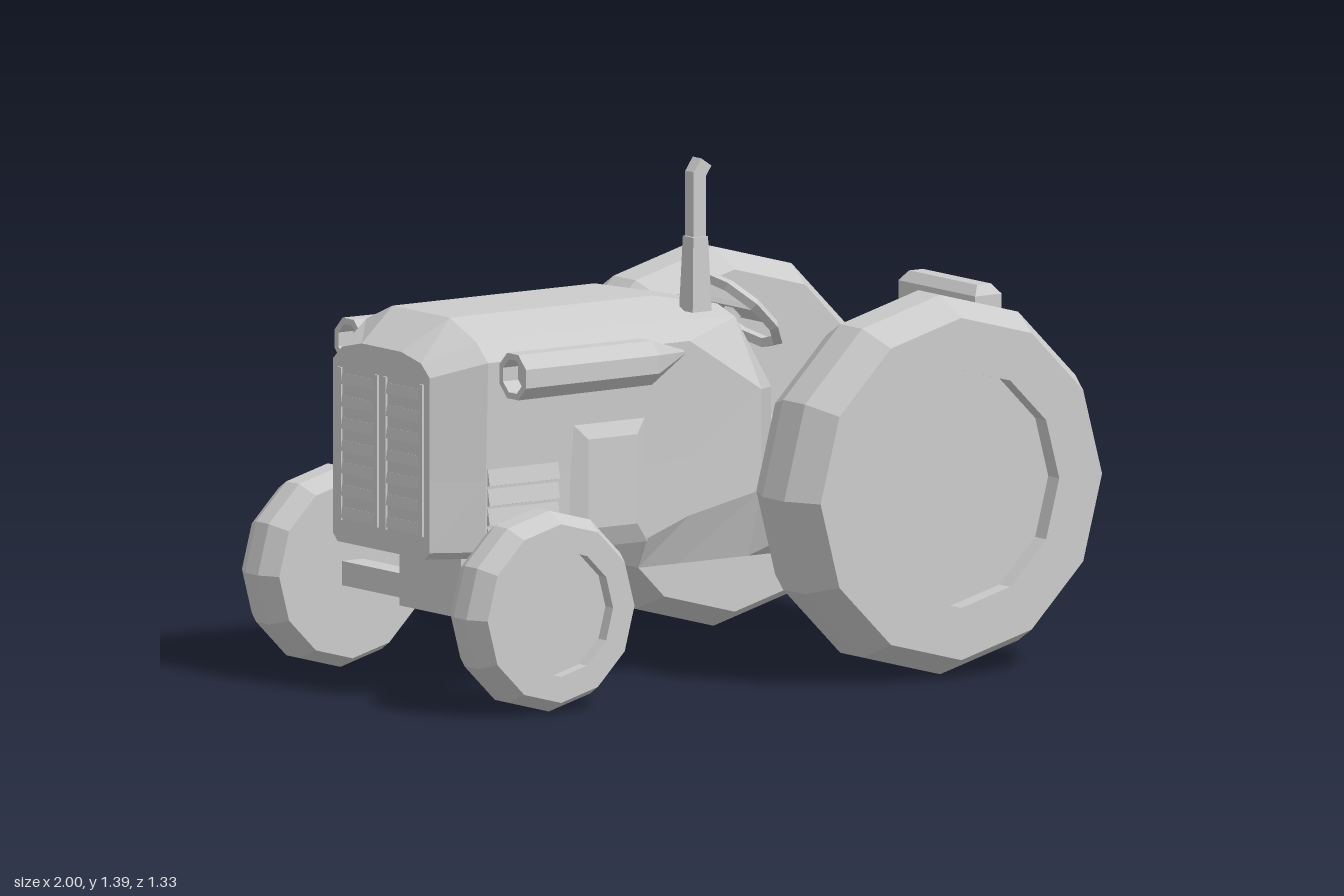
import * as THREE from 'three';

const mat = new THREE.MeshStandardMaterial({ color: 0xcccccc, flatShading: true });
const matDouble = new THREE.MeshStandardMaterial({ color: 0xcccccc, flatShading: true, side: THREE.DoubleSide });

function add(parent, name, geometry, material = mat) {
  const mesh = new THREE.Mesh(geometry, material);
  mesh.name = name;
  parent.add(mesh);
  return mesh;
}

function box(parent, name, x0, x1, y0, y1, z0, z1) {
  const mesh = add(parent, name, new THREE.BoxGeometry(x1 - x0, y1 - y0, z1 - z0));
  mesh.position.set((x0 + x1) / 2, (y0 + y1) / 2, (z0 + z1) / 2);
  return mesh;
}

// Skin rings of equal point count that run from low x to high x
function loft(rings) {
  const pos = [];
  const tri = (a, b, c) => pos.push(...a, ...b, ...c);
  const n = rings[0].length;
  for (let i = 0; i < rings.length - 1; i++) {
    for (let j = 0; j < n; j++) {
      const k = (j + 1) % n, a = rings[i], b = rings[i + 1];
      tri(a[j], b[j], b[k]);
      tri(a[j], b[k], a[k]);
    }
  }
  const first = rings[0], last = rings[rings.length - 1];
  for (let j = 1; j < n - 1; j++) {
    tri(first[0], first[j], first[j + 1]);
    tri(last[0], last[j + 1], last[j]);
  }
  const g = new THREE.BufferGeometry();
  g.setAttribute('position', new THREE.Float32BufferAttribute(pos, 3));
  g.computeVertexNormals();
  return g;
}

// Full ring from the half outline [z, y], listed from bottom to top
function ring(x, half) {
  const left = half.map(([z, y]) => [x, y, z]);
  const right = half.map(([z, y]) => [x, y, -z]).reverse();
  return [...left, ...right];
}

// Block with a smaller outer face, its thickness along +z
function bevelPanel(w, h, w2, h2, depth) {
  const g = new THREE.BoxGeometry(w, h, depth);
  const p = g.attributes.position;
  for (let i = 0; i < p.count; i++) {
    if (p.getZ(i) > 0) p.setXY(i, p.getX(i) * w2 / w, p.getY(i) * h2 / h);
  }
  return g;
}

// Square post, rTop and rBottom measured to the corners
function post(rTop, rBottom, h, open = false) {
  return new THREE.CylinderGeometry(rTop, rBottom, h, 4, 1, open).rotateY(Math.PI / 4);
}

// Tyre with a sunken hub on its outer side
function wheel(parent, name, x, zInner, side, r, edge, rim, width, recess) {
  const profile = [
    [0, 0], [rim, 0], [edge, 0], [r, width * 0.33], [r, width * 0.67], [edge, width],
    [rim, width], [rim, width - recess], [0, width - recess],
  ].map(([a, b]) => new THREE.Vector2(a, b));
  const g = new THREE.LatheGeometry(profile, 12);
  g.rotateX(side * Math.PI / 2);
  add(parent, name, g).position.set(x, r, side * zInner);
}

export function createModel() {
  const tractor = new THREE.Group();
  tractor.name = 'tractor';

  // Hood, cowl and transmission in one faceted shell
  const crown = [[0.305, 0.92], [0.25, 0.97], [0.13, 1.02]];
  const hood = [[0.27, 0.39], [0.293, 0.41], [0.295, 0.6], ...crown];
  const floor = (z) => [[0.25, 0.315], [0.31, 0.37], [0.31, 0.55], [z, 0.6], [z - 0.02, 0.605], [0.09, 0.605]];
  add(tractor, 'body', loft([
    ring(-0.93, [[0.2, 0.39], [0.22, 0.41], [0.22, 0.6], [0.22, 0.88], [0.18, 0.915], [0.09, 0.935]]),
    ring(-0.8, hood),
    ring(-0.275, hood),
    ring(-0.27, [[0.25, 0.315], [0.293, 0.4], [0.295, 0.6], ...crown]),
    ring(-0.14, [[0.25, 0.315], [0.3, 0.45], [0.3, 0.6], ...crown]),
    ring(0.09, [[0.25, 0.315], [0.31, 0.5], [0.31, 0.56], [0.31, 0.77], [0.19, 0.95], [0.11, 0.975]]),
    ring(0.215, [[0.25, 0.315], [0.31, 0.38], [0.31, 0.55], [0.18, 0.6], [0.18, 0.75], [0.1, 0.79]]),
    ring(0.225, floor(0.18)),
    ring(0.55, floor(0.22)),
    ring(0.85, floor(0.22)),
    ring(0.97, [[0.145, 0.32], [0.175, 0.38], [0.175, 0.57], [0.175, 0.6], [0.15, 0.605], [0.09, 0.605]]),
  ]));
  box(tractor, 'rearCrossbar', 0.57, 0.65, 0.24, 0.33, -0.21, 0.21);

  // Front grilles with slats
  for (const s of [-1, 1]) {
    const grille = new THREE.Group();
    grille.name = 'frontGrille';
    tractor.add(grille);
    for (const z of [0.02, 0.185]) {
      box(grille, 'grilleFrame', -0.936, -0.925, 0.45, 0.86, s * z - 0.008, s * z + 0.008);
    }
    for (let i = 0; i < 7; i++) {
      const slat = box(grille, 'grilleSlat', -0.934, -0.924, 0.455 + i * 0.06, 0.485 + i * 0.06,
        s * 0.1025 - 0.08, s * 0.1025 + 0.08);
      slat.rotation.z = -0.15;
    }
  }

  // Parts repeated on both flanks
  for (const s of [-1, 1]) {
    const flank = new THREE.Group();
    flank.name = s > 0 ? 'frontFlank' : 'backFlank';
    flank.rotation.y = s > 0 ? 0 : Math.PI;
    tractor.add(flank);

    const panel = add(flank, 'enginePanel', bevelPanel(0.26, 0.35, 0.16, 0.24, 0.024));
    panel.position.set(s * -0.4, 0.567, 0.304);
    for (let i = 0; i < 4; i++) {
      const louvre = add(flank, 'sideLouvre', new THREE.BoxGeometry(0.23, 0.045, 0.012));
      louvre.position.set(s * -0.68, 0.45 + i * 0.053, 0.295);
      louvre.rotation.x = -0.2;
    }

    // Open tube that tapers back into the hood
    const tube = new THREE.Group();
    tube.name = 'sideTube';
    tractor.add(tube);
    const stations = [[-0.72, 0.375, 0.048], [-0.77, 0.375, 0.048], [-0.77, 0.375, 0.066],
      [-0.33, 0.372, 0.064], [-0.16, 0.3, 0.008]];
    const rings = stations.map(([x, z, r]) => Array.from({ length: 8 }, (_, j) => {
      const a = (j + 0.5) * Math.PI / 4;
      return [x, 0.89 + r * Math.sin(a), s * z + r * Math.cos(a)];
    }));
    add(tube, 'tubeShell', loft(rings), matDouble);
  }

  // Exhaust stack with a bent, open tip
  const exhaust = new THREE.Group();
  exhaust.name = 'exhaust';
  tractor.add(exhaust);
  add(exhaust, 'exhaustBase', post(0.034, 0.044, 0.2)).position.set(-0.045, 1.08, 0.197);
  add(exhaust, 'exhaustPipe', post(0.028, 0.028, 0.18)).position.set(-0.042, 1.265, 0.193);
  const tip = add(exhaust, 'exhaustTip', post(0.028, 0.028, 0.045, true), matDouble);
  tip.position.set(-0.033, 1.36, 0.193);
  tip.rotation.z = -0.6;

  // Steering wheel tilted towards the seat
  const steering = new THREE.Group();
  steering.name = 'steeringWheel';
  steering.position.set(0.225, 0.935, 0);
  steering.rotation.z = -Math.PI / 4;
  tractor.add(steering);
  add(steering, 'steeringRim', new THREE.TorusGeometry(0.14, 0.017, 4, 10).rotateX(Math.PI / 2));
  box(steering, 'crossSpoke', -0.025, 0.025, -0.008, 0.008, -0.135, 0.135);
  box(steering, 'steeringColumn', -0.018, 0.018, -0.2, 0, -0.018, 0.018);

  // Seat with bevelled cushion and backrest
  const seat = new THREE.Group();
  seat.name = 'seat';
  tractor.add(seat);
  const cushion = add(seat, 'cushion', bevelPanel(0.35, 0.44, 0.25, 0.33, 0.09).rotateX(-Math.PI / 2));
  cushion.position.set(0.725, 0.635, 0);
  box(seat, 'backrest', 0.885, 0.972, 0.325, 0.93, -0.175, 0.175);
  const cap = add(seat, 'backrestTop', bevelPanel(0.087, 0.35, 0.045, 0.31, 0.027).rotateX(-Math.PI / 2));
  cap.position.set(0.9285, 0.9435, 0);

  // Axles
  box(tractor, 'rearAxle', 0.43, 0.495, 0.46, 0.52, -0.4, 0.4);
  box(tractor, 'frontAxle', -0.765, -0.695, 0.23, 0.295, -0.43, 0.4);
  box(tractor, 'axleBracket', -0.77, -0.69, 0.21, 0.42, -0.14, 0.14);

  // Wheels
  for (const s of [-1, 1]) {
    wheel(tractor, 'rearWheel', 0.49, 0.37, s, 0.51, 0.46, 0.32, 0.293, 0.05);
    wheel(tractor, 'frontWheel', -0.73, s > 0 ? 0.37 : 0.41, s, 0.27, 0.24, 0.17, 0.17, 0.035);
  }

  return tractor;
}
